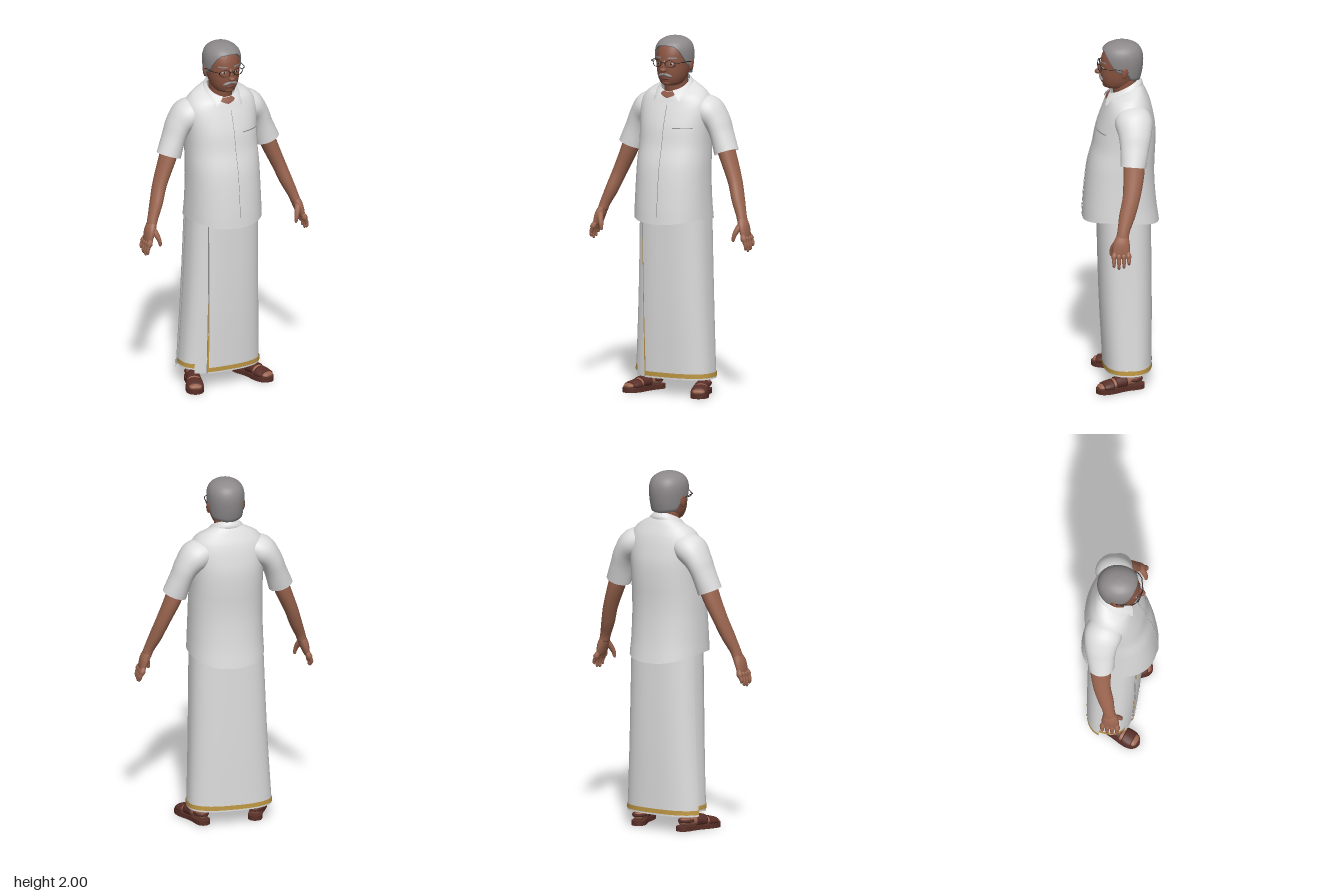
import * as THREE from 'three';
import { mergeVertices } from 'three/addons/utils/BufferGeometryUtils.js';

const mat = (name, color, side = THREE.FrontSide) => {
  const m = new THREE.MeshStandardMaterial({ color, side });
  m.name = name;
  return m;
};
const M = {
  cloth: mat('white cloth', 0xdededf, THREE.DoubleSide),
  seam: mat('seam grey', 0x8a8a8c, THREE.DoubleSide),
  gold: mat('gold border', 0xc29a45, THREE.DoubleSide),
  skin: mat('arm skin', 0x9c6650),
  face: mat('face skin', 0x8a5542, THREE.DoubleSide),
  lips: mat('lips', 0x6e3f34),
  hair: mat('grey hair', 0x8d898b, THREE.DoubleSide),
  leather: mat('brown leather', 0x5a2f28, THREE.DoubleSide),
  dark: mat('dark frame', 0x2b211e),
  eye: mat('eye white', 0xd0c8c2),
};
const { lerp } = THREE.MathUtils;
const TAU = Math.PI * 2;

function add(parent, name, geo, material, pos = [0, 0, 0], scale = [1, 1, 1], rot = [0, 0, 0]) {
  const m = new THREE.Mesh(geo, material);
  m.name = name;
  m.position.set(...pos);
  m.scale.set(...scale);
  m.rotation.set(...rot);
  parent.add(m);
  return m;
}

// smooth surface through f(u, v); seams are welded
function grid(nu, nv, f) {
  const p = [], idx = [];
  for (let j = 0; j <= nv; j++) for (let i = 0; i <= nu; i++) p.push(...f(i / nu, j / nv, j));
  for (let j = 0; j < nv; j++) for (let i = 0; i < nu; i++) {
    const a = j * (nu + 1) + i, b = a + 1, c = a + nu + 1, d = c + 1;
    idx.push(a, b, d, a, d, c);
  }
  let g = new THREE.BufferGeometry();
  g.setAttribute('position', new THREE.Float32BufferAttribute(p, 3));
  g.setIndex(idx);
  g = mergeVertices(g, 1e-5);
  g.computeVertexNormals();
  return g;
}

// smooth lookup of a profile row [y, halfWidth, zFront, zBack, roundness, xCentre, tilt] at height y
function rowAt(rows, y) {
  let i = 0;
  while (i < rows.length - 2 && y > rows[i + 1][0]) i++;
  const a = rows[i], b = rows[i + 1], p = rows[Math.max(i - 1, 0)], q = rows[Math.min(i + 2, rows.length - 1)];
  const h = b[0] - a[0], t = (y - a[0]) / h, t2 = t * t, t3 = t2 * t;
  return a.map((v, k) => (2 * t3 - 3 * t2 + 1) * v + (3 * t2 - 2 * t3) * b[k]
    + (t3 - 2 * t2 + t) * h * (b[k] - p[k]) / (b[0] - p[0]) + (t3 - t2) * h * (q[k] - v) / (q[0] - a[0]));
}
const fill = rows => rows.map(([y, rx, zf, zb, n = 2.1, cx = 0, tilt = 0]) => [y, rx, zf, zb, n, cx, tilt]);
const pw = (s, n) => Math.sign(s) * Math.abs(s) ** (2 / n);
// point on a body: angle 0 is the front, growing towards +x
const body = rows => (a, y, off = 0) => {
  const [, rx, zf, zb, n, cx, tilt] = rowAt(rows, y);
  const z = (zf + zb) / 2 + ((zf - zb) / 2 + off) * pw(Math.cos(a), n);
  return [cx + (rx + off) * pw(Math.sin(a), n), y + tilt * z, z];
};
const heightAt = (rows, v) => {
  const t = v * (rows.length - 1), i = Math.min(Math.floor(t), rows.length - 2);
  return lerp(rows[i][0], rows[i + 1][0], t - i);
};
const loft = (rows, f = body(rows)) =>
  grid(48, (rows.length - 1) * 4, (u, v) => f(u * TAU, heightAt(rows, v), 0));
// thin patch lying on a body between two angles (functions of v) and two heights
const patch = (f, a0, a1, y0, y1, off, nu = 8, nv = 12) =>
  grid(nu, nv, (u, v) => f(lerp(a0(v), a1(v), u), lerp(y0, y1, v), off));

// tapered limb through [x, y, z, r, rz]; side mirrors it in x
function limb(pts, { side = 1, cap = true, hint = [0, 0, 1], n = 16 } = {}) {
  const path = new THREE.CatmullRomCurve3(pts.map(p => new THREE.Vector3(p[0] * side, p[1], p[2])));
  const rad = new THREE.CatmullRomCurve3(pts.map(p => new THREE.Vector3(p[3], p[4] ?? p[3], 0)));
  const steps = (pts.length - 1) * 4, rows = cap ? steps + 2 : steps;
  return grid(n, rows, (u, v, j) => {
    const t = cap ? THREE.MathUtils.clamp((j - 1) / steps, 0, 1) : v;
    const P = path.getPoint(t), T = path.getTangent(t), R = rad.getPoint(t);
    const N = new THREE.Vector3(...hint).cross(T).normalize(), B = T.clone().cross(N);
    const k = cap && (j === 0 || j === rows) ? 0 : 1;
    return P.addScaledVector(N, k * R.x * Math.cos(u * TAU)).addScaledVector(B, k * R.y * Math.sin(u * TAU)).toArray();
  });
}

const SHIRT = fill([
  [0.958, 0.212, 0.215, -0.21, 2.3, 0, 0.05], [1.06, 0.209, 0.21, -0.195, 2.3], [1.2, 0.205, 0.197, -0.185, 2.3],
  [1.3, 0.204, 0.182, -0.185, 2.3], [1.4, 0.202, 0.156, -0.19, 2.3], [1.5, 0.206, 0.137, -0.19, 2.3],
  [1.58, 0.212, 0.112, -0.178, 2.3], [1.64, 0.203, 0.092, -0.16, 2.3, 0, -0.08], [1.685, 0.168, 0.078, -0.135, 2.2, 0, -0.2],
  [1.71, 0.115, 0.066, -0.115, 2.1, 0, -0.35], [1.72, 0.085, 0.058, -0.1, 2, 0, -0.45]]);
const WRAP = fill([
  [0.11, 0.228, 0.093, -0.16, 2.6, -0.012], [0.5, 0.211, 0.113, -0.161, 2.6, -0.006], [1.03, 0.196, 0.128, -0.155, 2.6]]);
const HEAD = fill([
  [1.724, 0.004, 0.05, 0.03], [1.732, 0.045, 0.085, -0.03], [1.76, 0.069, 0.104, -0.065], [1.8, 0.082, 0.113, -0.088],
  [1.84, 0.088, 0.114, -0.1], [1.88, 0.091, 0.112, -0.105], [1.92, 0.09, 0.104, -0.106], [1.96, 0.076, 0.082, -0.088],
  [1.985, 0.044, 0.042, -0.052], [1.992, 0.002, 0, -0.004]]);
const HAIR = fill([
  [1.76, 0.084, 0.08, -0.1], [1.8, 0.094, 0.1, -0.112], [1.85, 0.101, 0.112, -0.121], [1.9, 0.104, 0.115, -0.124],
  [1.94, 0.099, 0.109, -0.117], [1.97, 0.082, 0.089, -0.098], [1.99, 0.052, 0.054, -0.065], [1.997, 0.028, 0.026, -0.036], [2, 0, -0.004, -0.004]]);

function buildShirt(g) {
  const f = body(SHIRT);
  // hem curves up at the sides
  add(g, 'shirt', loft(SHIRT, (a, y) => {
    const p = f(a, y);
    p[1] += 0.035 * Math.sin(a) ** 2 * Math.max(0, 1 - (y - 0.958) / 0.1);
    return p;
  }), M.cloth);
  add(g, 'placket', patch(f, () => -0.1, () => 0.02, 0.962, 1.64, 0.004, 4, 30), M.cloth);
  add(g, 'placketSeam', patch(f, () => 0.02, () => 0.03, 1.0, 1.63, 0.003, 1, 30), M.seam);
  add(g, 'pocket', patch(f, () => 0.25, () => 0.85, 1.36, 1.5, 0.005), M.cloth);
  add(g, 'pocketSeam', patch(f, () => 0.25, () => 0.85, 1.5, 1.505, 0.006), M.seam);
  add(g, 'openNeckline', patch(f, v => -0.5 * v - 0.01, v => 0.5 * v + 0.01, 1.675, 1.72, 0.004), M.face);
  // folded collar: from the lower outer edge up to the neck line
  add(g, 'collar', grid(40, 6, (u, v) => {
    const a = lerp(0.32, TAU - 0.32, u), b = Math.PI + (a - Math.PI) * (Math.PI - 0.8) / (Math.PI - 0.32);
    const c = Math.cos(b), zt = -0.015 + 0.085 * Math.cos(a), yt = 1.735 - 0.5 * zt;
    const tip = Math.max(0, c) ** 2;
    const low = [0.108 * Math.sin(b), 1.735 - 0.5 * (-0.015 + 0.085 * c) - 0.045 - 0.05 * tip, -0.012 + (c > 0 ? 0.145 : 0.106) * c];
    const top = [0.078 * Math.sin(a), yt, zt], bulge = 1 + 0.08 * Math.sin(v * Math.PI);
    return [lerp(low[0], top[0], v) * bulge, lerp(low[1], top[1], v), lerp(low[2], top[2], v) * bulge];
  }), M.cloth);
}

function buildWrap(g) {
  const f = body(WRAP);
  const edge = v => lerp(-0.43, -0.62, v), end = () => 4.5;
  add(g, 'wrapUnderLayer', loft(WRAP), M.cloth);
  add(g, 'underLayerBorder', patch(f, () => 4.3, () => TAU - 0.6, 0.12, 0.145, 0.003, 16, 1), M.gold);
  add(g, 'innerFold', patch(f, v => edge(v) - 0.42 + 0.1 * v, edge, 0.09, 1.02, 0.005), M.cloth);
  add(g, 'foldSeam', patch(f, v => edge(v) - 0.025, edge, 0.09, 0.98, 0.008, 1), M.seam);
  add(g, 'wrapPanel', patch(f, edge, end, 0.088, 1.02, 0.009, 48, 12), M.cloth);
  add(g, 'panelBorder', patch(f, () => -0.43, end, 0.098, 0.123, 0.012, 48, 1), M.gold);
  add(g, 'panelEdgeBorder', patch(f, v => lerp(-0.43, -0.59, v), v => lerp(-0.39, -0.57, v), 0.1, 0.87, 0.012, 1), M.gold);
}

function buildHead(g) {
  const f = body(HEAD), h = body(HAIR), ball = new THREE.SphereGeometry(1, 20, 14);
  add(g, 'neck', limb([[0, 1.6, -0.04, 0.07], [0, 1.69, -0.025, 0.066], [0, 1.79, -0.015, 0.068]]), M.face);
  add(g, 'face', loft(HEAD), M.face);
  // hairline height by angle from the front
  const line = [[0, 1.955], [0.5, 1.95], [0.8, 1.925], [1.05, 1.885], [1.25, 1.85], [1.5, 1.835], [1.75, 1.84], [2.0, 1.79], [3.2, 1.775]];
  const hairline = a => {
    const d = Math.abs(a > Math.PI ? TAU - a : a);
    const i = line.findIndex((p, k) => k < line.length - 1 && d <= line[k + 1][0]);
    return lerp(line[i][1], line[i + 1][1], (d - line[i][0]) / (line[i + 1][0] - line[i][0]));
  };
  add(g, 'hair', grid(64, 24, (u, v, j) => {
    const a = u * TAU, y = lerp(hairline(a), 2, j === 0 ? 0 : 1 - (1 - (j - 1) / 23) ** 2);
    return h(a, y, j === 0 ? -0.02 : 0);
  }), M.hair);
  add(g, 'noseBridge', ball, M.face, [0, 1.845, 0.112], [0.013, 0.036, 0.017], [-0.2, 0, 0]);
  add(g, 'noseTip', ball, M.face, [0, 1.822, 0.126], [0.019, 0.014, 0.019]);
  add(g, 'lips', ball, M.lips, [0, 1.771, 0.105], [0.026, 0.006, 0.007]);
  add(g, 'chin', ball, M.face, [0, 1.748, 0.082], [0.03, 0.018, 0.02]);
  for (const s of [1, -1]) {
    add(g, 'ear', ball, M.face, [s * 0.098, 1.842, -0.016], [0.011, 0.034, 0.021], [-0.15, s * 0.3, 0]);
    add(g, 'moustache', ball, M.hair, [s * 0.02, 1.792, 0.111], [0.026, 0.008, 0.009], [0, s * 0.25, -s * 0.28]);
    add(g, 'eye', ball, M.eye, [s * 0.037, 1.856, 0.101], [0.014, 0.007, 0.006], [0, s * 0.4, 0]);
    add(g, 'iris', ball, M.dark, [s * 0.037, 1.856, 0.105], [0.006, 0.006, 0.004]);
    add(g, 'eyebrow', patch(f, () => s > 0 ? 0.2 : -0.75, () => s > 0 ? 0.75 : -0.2, 1.885, 1.893, 0.004, 8, 1), M.hair);
    // glasses
    add(g, 'lensFrame', new THREE.TorusGeometry(0.03, 0.0025, 6, 28), M.dark, [s * 0.041, 1.858, 0.121], [1, 0.66, 1], [0, s * 0.25, 0]);
    const arm = new THREE.CatmullRomCurve3([[0.07, 1.865, 0.113], [0.094, 1.866, 0.09], [0.105, 1.864, 0.02], [0.106, 1.855, -0.02]]
      .map(([x, y, z]) => new THREE.Vector3(x * s, y, z)));
    add(g, 'glassesArm', new THREE.TubeGeometry(arm, 12, 0.0025, 6), M.dark);
  }
  add(g, 'glassesBridge', new THREE.CylinderGeometry(0.0025, 0.0025, 0.03, 6), M.dark, [0, 1.864, 0.13], [1, 1, 1], [0, 0, Math.PI / 2]);
}

function buildArm(g, side) {
  const o = { side };
  add(g, 'sleeve', limb([[0.12, 1.615, -0.05, 0.065, 0.09], [0.185, 1.583, -0.06, 0.085, 0.105], [0.235, 1.53, -0.064, 0.07, 0.092],
    [0.268, 1.46, -0.06, 0.063, 0.08], [0.303, 1.362, -0.05, 0.069, 0.071]], { side, cap: false, n: 28 }), M.cloth);
  add(g, 'arm', limb([[0.27, 1.45, -0.058, 0.05, 0.06], [0.315, 1.33, -0.053, 0.045, 0.058], [0.368, 1.2, -0.035, 0.038, 0.048],
    [0.4, 1.11, -0.01, 0.035, 0.044], [0.432, 1.03, 0.012, 0.028, 0.034], [0.443, 0.995, 0.018, 0.026, 0.035]], { side, n: 24 }), M.skin);
  add(g, 'palm', limb([[0.438, 1.01, 0.015, 0.025, 0.033], [0.456, 0.965, 0.024, 0.026, 0.047], [0.47, 0.915, 0.026, 0.018, 0.048],
    [0.475, 0.9, 0.026, 0.01, 0.04]], o), M.skin);
  [0.062, 0.038, 0.014, -0.01].forEach((z, i) => {
    const drop = [0.012, 0, 0.006, 0.025][i], spread = (z - 0.026) * 0.15;
    add(g, 'finger', limb([[0.468, 0.925, z, 0.012], [0.482, 0.89, z + spread, 0.012], [0.49, 0.86 + drop * 0.5, z + spread, 0.01],
      [0.489, 0.838 + drop, z + spread, 0.008], [0.488, 0.831 + drop, z + spread, 0.003]], { side, n: 10 }), M.skin);
  });
  add(g, 'thumb', limb([[0.448, 0.985, 0.04, 0.018], [0.433, 0.95, 0.064, 0.016], [0.422, 0.918, 0.077, 0.012],
    [0.418, 0.892, 0.079, 0.008], [0.418, 0.886, 0.079, 0.003]], { side, n: 10 }), M.skin);
}

function buildFoot(g, side) {
  const foot = new THREE.Group();
  foot.name = 'foot';
  foot.position.set(side * 0.182, 0, 0.01);
  foot.rotation.y = side * 0.34;
  g.add(foot);
  const o = { hint: [1, 0, 0] };
  const half = [[0.025, -0.13], [0.039, -0.1], [0.036, -0.02], [0.05, 0.07], [0.04, 0.125]];
  const outline = [[0, -0.14], ...half, [0, 0.148], ...half.map(([x, z]) => [-x, z]).reverse()];
  const shape = new THREE.Shape(new THREE.SplineCurve([...outline, outline[0]].map(p => new THREE.Vector2(...p))).getPoints(48));
  add(foot, 'sandalSole', new THREE.ExtrudeGeometry(shape, { depth: 0.026, bevelEnabled: false }).rotateX(Math.PI / 2), M.leather, [0, 0.026, 0]);
  add(foot, 'bareFoot', limb([[0, 0.045, -0.118, 0.015, 0.02], [0, 0.052, -0.085, 0.03, 0.031], [0, 0.052, 0, 0.032, 0.035],
    [0, 0.04, 0.07, 0.021, 0.041], [0, 0.034, 0.125, 0.013, 0.034], [0, 0.032, 0.136, 0.006, 0.022]], o), M.skin);
  add(foot, 'toeStrap', limb([[0, 0.038, 0.055, 0.032, 0.048], [0, 0.036, 0.085, 0.027, 0.049], [0, 0.034, 0.112, 0.021, 0.045]], o), M.leather);
  add(foot, 'instepStrap', limb([[0, 0.05, -0.025, 0.036, 0.039], [0, 0.05, 0.01, 0.035, 0.04], [0, 0.046, 0.038, 0.033, 0.043]], o), M.leather);
  add(foot, 'heelStrap', new THREE.TorusGeometry(0.04, 0.006, 6, 24), M.leather, [0, 0.056, -0.078], [0.9, 1.1, 1.5], [Math.PI / 2, 0, 0]);
  add(foot, 'lowerLeg', limb([[0, 0.04, -0.08, 0.033], [0, 0.1, -0.078, 0.031], [0, 0.22, -0.07, 0.042], [0, 0.4, -0.06, 0.048]]), M.skin);
}

export function createModel() {
  const model = new THREE.Group();
  model.name = 'standingMan';
  const part = name => {
    const g = new THREE.Group();
    g.name = name;
    model.add(g);
    return g;
  };
  buildShirt(part('shirtGroup'));
  buildWrap(part('wrapGarment'));
  buildHead(part('head'));
  for (const side of [1, -1]) {
    buildArm(part(side > 0 ? 'leftArm' : 'rightArm'), side);
    buildFoot(part(side > 0 ? 'leftLeg' : 'rightLeg'), side);
  }
  return model;
}
